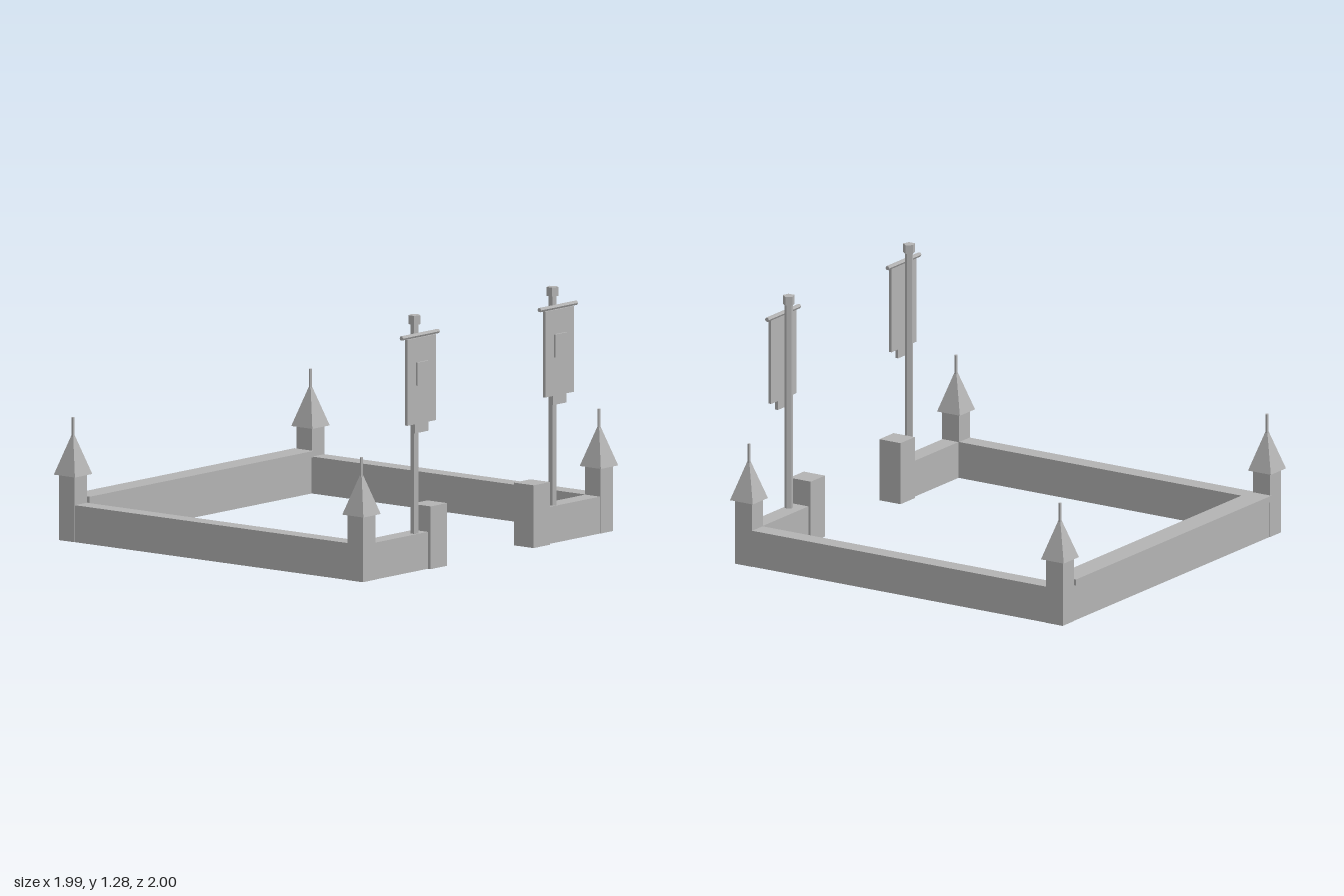
import * as THREE from 'three';

export function createModel() {
  const model = new THREE.Group();
  model.name = 'walledCourt';
  const stone = new THREE.MeshStandardMaterial({ color: 0xb3b3b3, flatShading: true });
  stone.name = 'stone grey';

  function add(parent, name, geometry, x, y, z) {
    const mesh = new THREE.Mesh(geometry, stone);
    mesh.name = name;
    mesh.position.set(x, y, z);
    parent.add(mesh);
    return mesh;
  }

  // Box given by its minimum and maximum on each axis
  function block(parent, name, x0, x1, y0, y1, z0, z1) {
    const geometry = new THREE.BoxGeometry(x1 - x0, y1 - y0, z1 - z0);
    return add(parent, name, geometry, (x0 + x1) / 2, (y0 + y1) / 2, (z0 + z1) / 2);
  }

  // Upright prism or cone with its foot at y0
  function post(parent, name, rTop, rBottom, sides, turn, x, y0, y1, z) {
    const geometry = new THREE.CylinderGeometry(rTop, rBottom, y1 - y0, sides).rotateY(turn);
    return add(parent, name, geometry, x, (y0 + y1) / 2, z);
  }

  // Corner turret: shaft, pyramid roof and spire
  function turret(x, z) {
    const g = new THREE.Group();
    g.name = 'cornerTurret';
    block(g, 'turretShaft', x - 0.05, x + 0.05, 0, 0.33, z - 0.05, z + 0.05);
    post(g, 'turretRoof', 0, 0.068 * Math.SQRT2, 4, Math.PI / 4, x, 0.33, 0.545, z);
    post(g, 'turretSpire', 0.009, 0.009, 6, 0, x, 0.5, 0.617, z);
    model.add(g);
  }

  // Banner on a five-sided pole, with crossbar, tail and raised emblem
  function banner(x) {
    const g = new THREE.Group();
    g.name = 'bannerStand';
    post(g, 'bannerPole', 0.0215, 0.0215, 5, Math.PI / 2, x, 0.18, 1.24, 0.943);
    post(g, 'poleCap', 0.031, 0.031, 5, Math.PI / 2, x, 1.24, 1.285, 0.943);
    const bar = new THREE.CylinderGeometry(0.0115, 0.0115, 0.288, 6).rotateZ(Math.PI / 2);
    add(g, 'crossbar', bar, x, 1.189, 0.977);
    block(g, 'bannerCloth', x - 0.112, x + 0.112, 0.746, 1.178, 0.973, 0.989);
    block(g, 'bannerTail', x - 0.053, x + 0.053, 0.70, 0.746, 0.973, 0.989);
    block(g, 'bannerEmblem', x - 0.045, x + 0.045, 0.94, 1.056, 0.989, 1.0);
    model.add(g);
  }

  for (const s of [-1, 1]) {
    turret(s * 0.927, 0.922);
    turret(s * 0.927, -0.932);
    banner(s * 0.539);

    // Side wall, short front wall and gate post
    const wx = s * 0.927;
    block(model, 'sideWall', wx - 0.047, wx + 0.047, 0, 0.186, -0.932, 0.922);
    const fx = s * 0.665;
    block(model, 'frontWall', fx - 0.262, fx + 0.262, 0, 0.186, 0.875, 0.969);
    const px = s * 0.402;
    block(model, 'gatePost', px - 0.064, px + 0.064, 0, 0.316, 0.861, 0.987);
  }

  // Back wall with an overhanging coping
  block(model, 'backWall', -0.927, 0.927, 0, 0.186, -0.979, -0.885);
  block(model, 'backCoping', -0.875, 0.875, 0.186, 0.217, -0.993, -0.868);

  return model;
}
